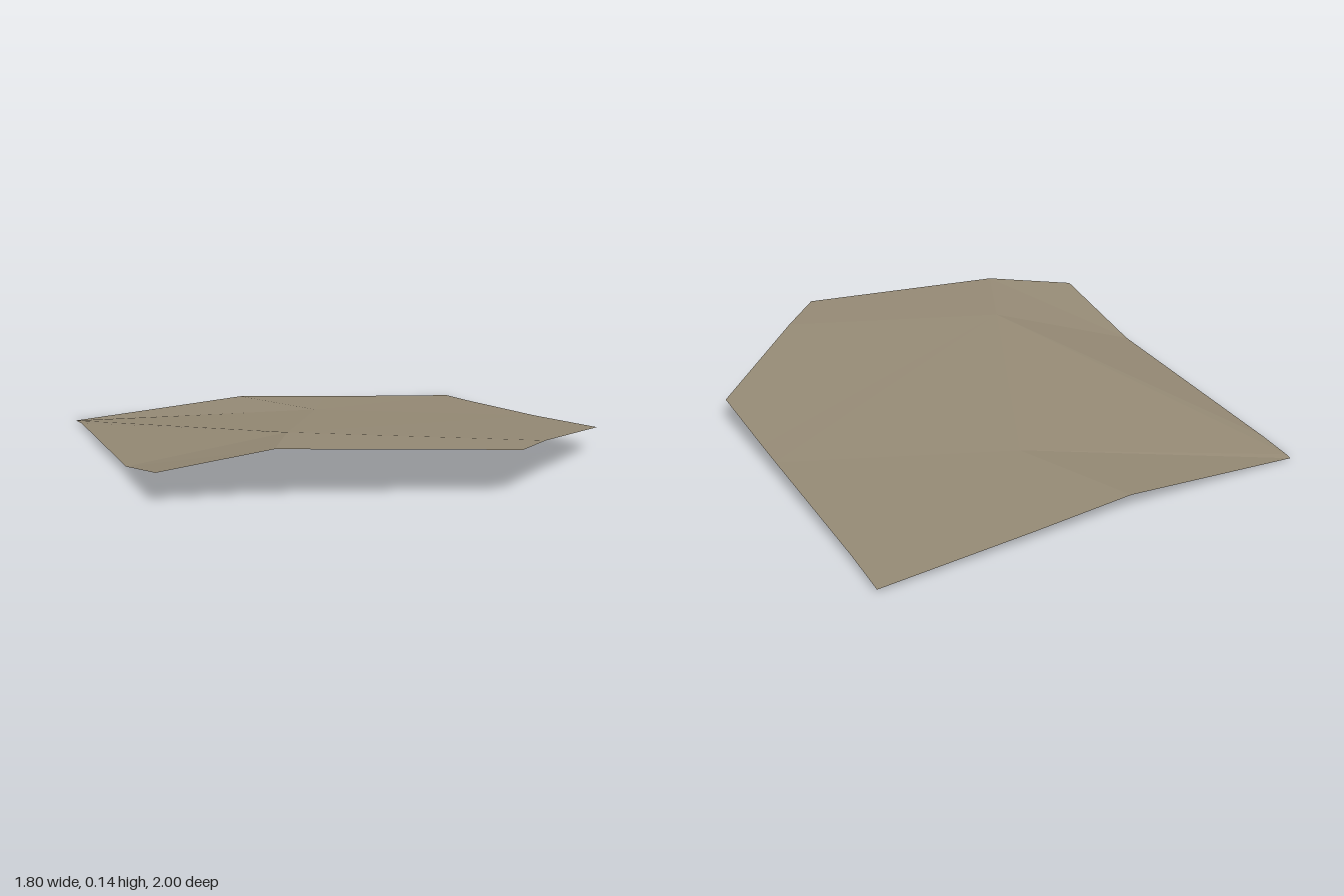
import * as THREE from 'three';

// Corner points: the outline in order, then two inner grid points
const P = {
  a: [-0.90, 0.00, -0.33], b: [-0.892, 0.004, -0.31], c: [-0.844, 0.012, -0.20],
  d: [-0.52, 0.02, 0.60], e: [-0.355, 0.083, 1.00], f: [-0.04, 0.14, 0.93],
  g: [0.635, 0.124, 0.795], h: [0.708, 0.117, 0.60], i: [0.90, 0.073, 0.09],
  j: [0.767, 0.052, -0.207], k: [0.72, 0.045, -0.31], l: [0.484, 0.018, -0.834],
  m: [0.415, 0.01, -1.00], n: [-0.04, 0.034, -0.77], o: [-0.344, 0.053, -0.614],
  p: [-0.04, 0.055, -0.31], q: [-0.04, 0.13, 0.60],
};

// Facets, counterclockwise from above
const facets = ['abpo', 'opn', 'bcqp', 'cdq', 'defq', 'fghq', 'qhij', 'qjkp', 'pkl', 'plmn'];

export function createModel() {
  const model = new THREE.Group();
  model.name = 'groundPatch';
  const earth = new THREE.MeshStandardMaterial({ color: 0x958a75, side: THREE.DoubleSide, flatShading: true });
  earth.name = 'earth';

  // Fan each facet into triangles
  const positions = [];
  for (const facet of facets) {
    for (let s = 1; s < facet.length - 1; s++) {
      positions.push(...P[facet[0]], ...P[facet[s]], ...P[facet[s + 1]]);
    }
  }
  const geometry = new THREE.BufferGeometry();
  geometry.setAttribute('position', new THREE.Float32BufferAttribute(positions, 3));
  geometry.computeVertexNormals();

  // Thin faceted sheet of ground
  const sheet = new THREE.Mesh(geometry, earth);
  sheet.name = 'groundSheet';
  model.add(sheet);
  return model;
}
